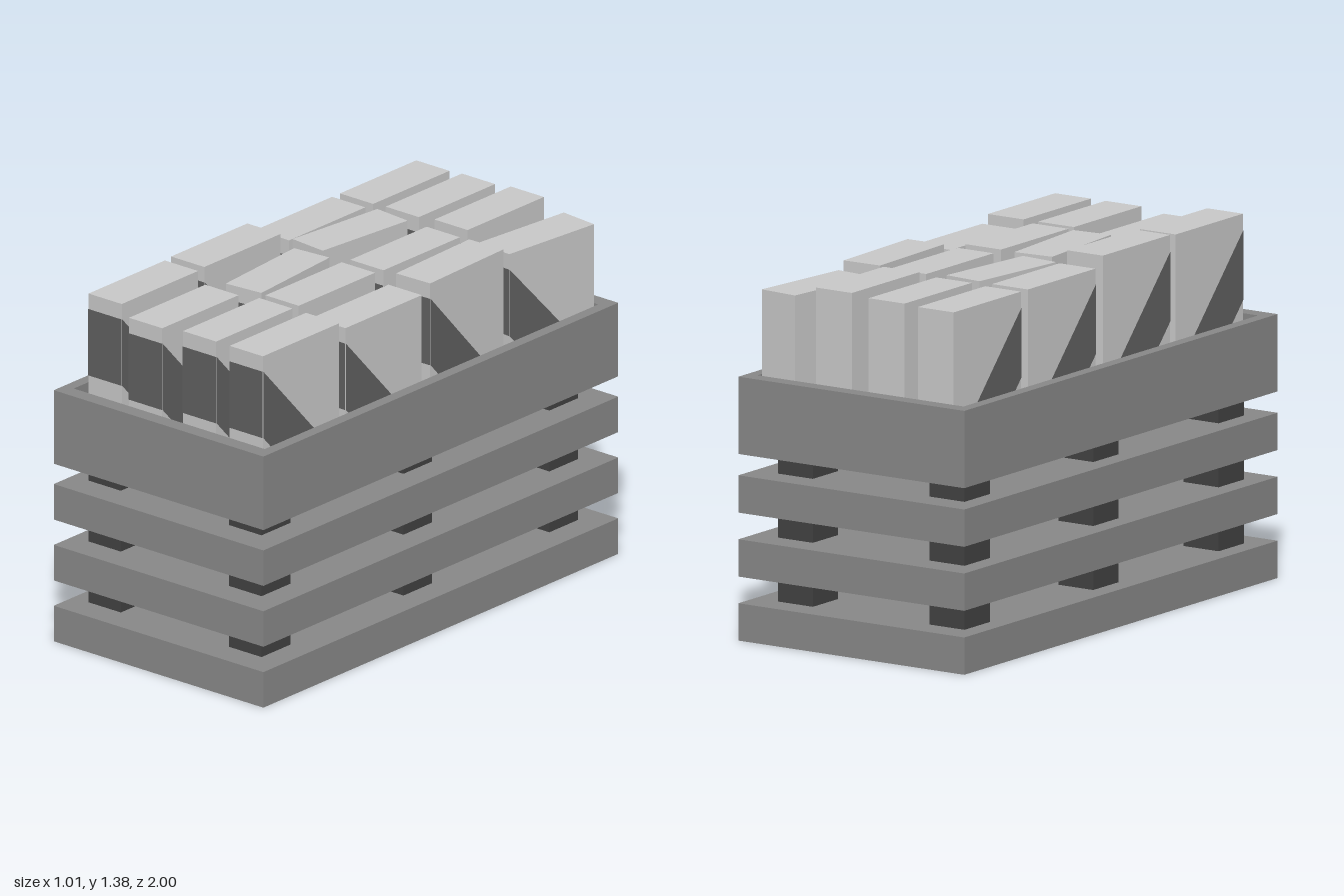
import * as THREE from 'three';

const mat = (name, color) => new THREE.MeshStandardMaterial({ name, color });

export function createModel() {
  const wood = mat('crate grey', 0x888888);
  const post = mat('post dark grey', 0x414141);
  const carton = mat('carton light grey', 0xc8c8c8);
  const stripe = mat('stripe grey', 0x606060);

  const model = new THREE.Group();
  model.name = 'crateOfCartons';

  function addMesh(parent, name, geometry, material, x, y, z) {
    const mesh = new THREE.Mesh(geometry, material);
    mesh.name = name;
    mesh.position.set(x, y, z);
    parent.add(mesh);
    return mesh;
  }

  // Stacked slabs
  const W = 1.01, D = 2;
  for (const [y0, y1] of [[0, 0.14], [0.24, 0.38], [0.48, 0.62]]) {
    addMesh(model, 'slab', new THREE.BoxGeometry(W, y1 - y0, D), wood, 0, (y0 + y1) / 2, 0);
  }

  // Spacer posts in the gaps between the slabs
  for (const [y0, y1] of [[0.14, 0.24], [0.38, 0.48], [0.62, 0.7]]) {
    for (const x of [-0.353, 0.325]) {
      for (const z of [0.81, 0.01, -0.812]) {
        addMesh(model, 'post', new THREE.BoxGeometry(0.156, y1 - y0, 0.162), post, x, (y0 + y1) / 2, z);
      }
    }
  }

  // Open tray: a wall ring with a floor inside
  const rect = (path, hx, hz) =>
    path.moveTo(-hx, -hz).lineTo(hx, -hz).lineTo(hx, hz).lineTo(-hx, hz).closePath();
  const ring = rect(new THREE.Shape(), W / 2, D / 2);
  ring.holes.push(rect(new THREE.Path(), 0.46, 0.94));
  const wall = new THREE.ExtrudeGeometry(ring, { depth: 0.29, bevelEnabled: false });
  wall.rotateX(-Math.PI / 2);
  addMesh(model, 'trayWall', wall, wood, 0, 0.7, 0);
  const floor = 0.73;
  addMesh(model, 'trayFloor', new THREE.BoxGeometry(0.92, floor - 0.7, 1.88), wood, 0, (0.7 + floor) / 2, 0);

  // Carton with a stripe across the front that runs down both sides
  const w = 0.16, d = 0.43, slope = 1.08, skin = 0.002;
  function addCarton(x, z, top, turn = 0) {
    const g = new THREE.Group();
    g.name = 'carton';
    g.position.set(x, top, z);
    g.rotation.y = turn;
    const h = top - floor, hi = 0.06, lo = 0.322;
    addMesh(g, 'cartonBody', new THREE.BoxGeometry(w, h, d), carton, 0, -h / 2, 0);
    addMesh(g, 'frontStripe', new THREE.PlaneGeometry(w, lo - hi), stripe, 0, -(hi + lo) / 2, d / 2 + skin);
    for (const side of [1, -1]) {
      const outline = [[0, -hi], [d, -hi - d * slope], [d, -h], [(h - lo) / slope, -h], [0, -lo]];
      const shape = new THREE.Shape(outline.map(([u, v]) => new THREE.Vector2(u * side, v)));
      const plate = addMesh(g, 'sideStripe', new THREE.ShapeGeometry(shape), stripe,
        side * (w / 2 + skin), 0, d / 2);
      plate.rotation.y = side * Math.PI / 2;
    }
    model.add(g);
  }

  // Rows from front to back: x, top height, turn
  const rows = [
    [0.7, [[-0.33, 1.37], [-0.135, 1.325], [0.125, 1.34], [0.35, 1.34]]],
    [0.235, [[-0.33, 1.375], [-0.08, 1.34, 0.087], [0.125, 1.34], [0.35, 1.31]]],
    [-0.243, [[-0.33, 1.335], [-0.14, 1.34, -0.1], [0.125, 1.335], [0.34, 1.34, 0.035]]],
    [-0.717, [[-0.33, 1.335], [-0.11, 1.34], [0.125, 1.35], [0.353, 1.31, -0.1]]],
  ];
  for (const [z, cartons] of rows) {
    for (const [x, top, turn] of cartons) addCarton(x, z, top, turn);
  }

  return model;
}
